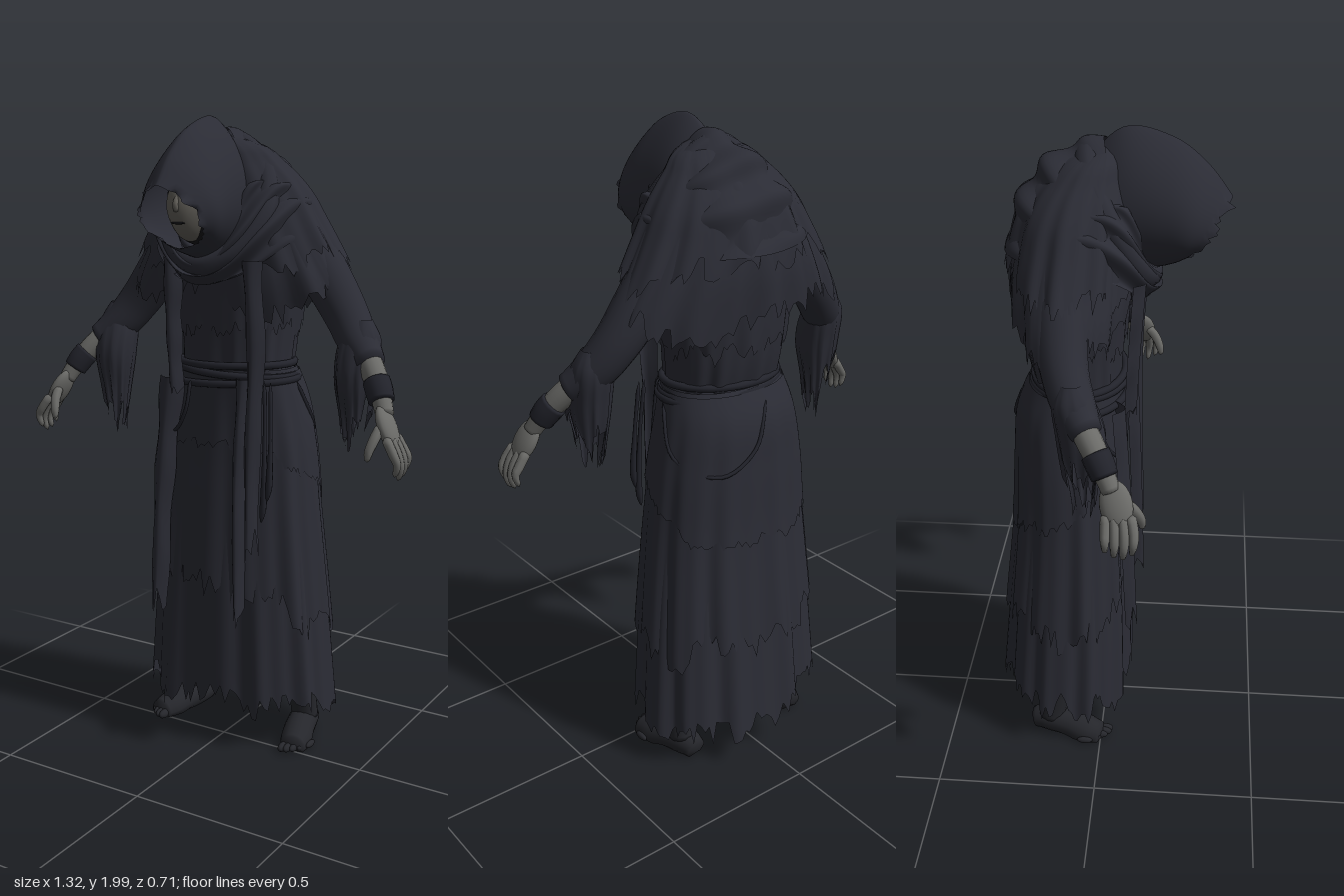
import * as THREE from 'three';
import { mergeVertices } from 'three/addons/utils/BufferGeometryUtils.js';

const mat = (name, color) => new THREE.MeshStandardMaterial({ name, color, side: THREE.DoubleSide });
const V = (p) => new THREE.Vector3(...p);

// Small seeded random generator
function seeded(s) {
  return () => {
    s = (s * 1664525 + 1013904223) % 4294967296;
    return s / 4294967296;
  };
}

// Smooth grid surface from f(u, v) -> [x, y, z]
function surface(f, nu, nv) {
  const pos = [], idx = [];
  for (let j = 0; j <= nv; j++) for (let i = 0; i <= nu; i++) pos.push(...f(i / nu, j / nv));
  for (let j = 0; j < nv; j++) for (let i = 0; i < nu; i++) {
    const a = j * (nu + 1) + i, b = a + nu + 1;
    idx.push(a, a + 1, b, b, a + 1, b + 1);
  }
  let g = new THREE.BufferGeometry();
  g.setAttribute('position', new THREE.Float32BufferAttribute(pos, 3));
  g.setIndex(idx);
  g = mergeVertices(g, 1e-5);
  g.computeVertexNormals();
  return g;
}

// Smooth interpolation of rows [t, a, b, ...], t ascending
function profile(rows) {
  const size = rows[0].length - 1;
  const c = new THREE.CubicInterpolant(rows.map((r) => r[0]), rows.flatMap((r) => r.slice(1)), size);
  return (t) => Array.from(c.evaluate(t));
}

// Torn edge: coarse flaps plus fine teeth, periodic in u
function torn(seed, amp, n) {
  const r = seeded(seed);
  const coarse = Array.from({ length: 22 }, r), fine = Array.from({ length: n }, r);
  return (u) => {
    const k = (u % 1) * 22, i = Math.floor(k), f = k - i;
    const c = coarse[i % 22] * (1 - f) + coarse[(i + 1) % 22] * f;
    return amp * (c - 0.5 + 0.7 * (fine[Math.round(u * n) % n] - 0.5));
  };
}

// Hanging cloth: rows [y, halfWidth, zFront, zBack], torn hem, folds that grow downwards
function cloth({ rows, top, hem, seed = 1, amp = 0.08, grow = 0, folds = 0.01, cx = 0, n = 132, nv = 22, square = 0.9 }) {
  const at = profile(rows), tear = torn(seed, amp, n);
  const pw = (c) => Math.sign(c) * Math.abs(c) ** square;
  return surface((u, v) => {
    const a = (u % 1) * Math.PI * 2;
    const end = hem(Math.cos(a), Math.sin(a)) + tear(u);
    const y = top + (end - top) * v;
    const [hx, zf, zb] = at(y);
    const w = grow + folds * v * (Math.sin(a * 11 + seed) + 0.6 * Math.sin(a * 19 + seed * 2));
    return [cx + (hx + w) * pw(Math.cos(a)), y, (zf + zb) / 2 + ((zf - zb) / 2 + w) * pw(Math.sin(a))];
  }, n, nv);
}

// Round limb through points with a radius at each point, closed at the ends
function limb(points, radii, nu = 14, nv = 18) {
  const curve = new THREE.CatmullRomCurve3(points.map(V));
  const { normals, binormals } = curve.computeFrenetFrames(nv, false);
  const r = profile(radii.map((x, i) => [i / (radii.length - 1), x]));
  return surface((u, v) => {
    const a = (u % 1) * Math.PI * 2, k = Math.round(v * nv);
    const rad = k === 0 || k === nv ? 0 : r(v)[0];
    const p = curve.getPoint(v).addScaledVector(normals[k], rad * Math.cos(a)).addScaledVector(binormals[k], rad * Math.sin(a));
    return [p.x, Math.max(0, p.y), p.z];
  }, nu, nv);
}

// Hanging ribbon, bowed forward, with a frayed tip
function ribbon(points, width, seed) {
  const curve = new THREE.CatmullRomCurve3(points.map(V)), r = seeded(seed);
  const fray = Array.from({ length: 9 }, () => r() * 0.12);
  return surface((u, v) => {
    const p = curve.getPoint(v * (1 - fray[Math.round(u * 8)]));
    const w = width * (1 - 0.35 * v) * (1 + 0.12 * Math.sin(v * 17 + seed));
    return [p.x + (u - 0.5) * w, p.y, p.z - 0.02 + 0.035 * Math.sin(u * Math.PI)];
  }, 8, 16);
}

// Closed cord or roll through points
const loop = (points, r) => new THREE.TubeGeometry(new THREE.CatmullRomCurve3(points.map(V), true), 72, r, 10, true);

export function createModel() {
  const root = new THREE.Group();
  const robe = mat('robe', 0x2b2c35), shade = mat('hoodShadow', 0x141418), wrap = mat('wrappings', 0x22232b);
  const skin = mat('greySkin', 0x6b6b68), mask = mat('faceSkin', 0x625f59), feet = mat('darkSkin', 0x25262b);
  const add = (name, geometry, material) => {
    const m = new THREE.Mesh(geometry, material);
    m.name = name;
    root.add(m);
    return m;
  };
  const ball = (name, material, p, s) => {
    const m = add(name, new THREE.SphereGeometry(1, 20, 14), material);
    m.position.set(...p);
    m.scale.set(...s);
    return m;
  };

  // Skirt layers
  const skirt = [
    [0.05, 0.325, 0.085, -0.345], [0.45, 0.295, 0.078, -0.31], [0.8, 0.262, 0.062, -0.277],
    [1.0, 0.24, 0.05, -0.268], [1.15, 0.208, 0.045, -0.255], [1.25, 0.18, 0.045, -0.21]];
  add('underSkirt', cloth({ rows: skirt, top: 1.25, hem: () => 0.145, seed: 3, amp: 0.12, folds: 0.009 }), robe);
  add('overSkirt', cloth({ rows: skirt, top: 1.24, hem: (c, s) => 0.46 + 0.05 * s, seed: 8, amp: 0.14, grow: 0.01, folds: 0.008 }), robe);
  add('hipDrape', cloth({ rows: skirt, top: 1.23, hem: (c, s) => 0.88 + 0.02 * c + 0.13 * s, seed: 21, amp: 0.06, grow: 0.015, folds: 0.004 }), robe);

  // Torso and torn chest layer
  const torso = [[1.2, 0.18, 0.045, -0.205], [1.32, 0.188, 0.05, -0.235], [1.45, 0.2, 0.06, -0.25], [1.6, 0.22, 0.07, -0.25], [1.78, 0.18, 0.05, -0.2]];
  add('torso', cloth({ rows: torso, top: 1.78, hem: () => 1.22, amp: 0, folds: 0.004 }), robe);
  add('chestLayer', cloth({ rows: torso, top: 1.76, hem: () => 1.37, seed: 5, amp: 0.07, grow: 0.008, folds: 0.004 }), robe);

  // Shoulder mantle in two torn layers
  const mantle = [
    [1.38, 0.425, 0.06, -0.265], [1.5, 0.388, 0.075, -0.275], [1.6, 0.33, 0.08, -0.278], [1.7, 0.272, 0.08, -0.262], [1.78, 0.225, 0.07, -0.235],
    [1.86, 0.155, 0.05, -0.17], [1.92, 0.08, 0.03, -0.08], [1.94, 0.001, 0.0, -0.002]];
  add('lowerMantle', cloth({ rows: mantle, top: 1.94, hem: (c, s) => 1.455 + 0.02 * c * c, seed: 13, amp: 0.1, folds: 0.007, square: 1 }), robe);
  add('upperMantle', cloth({ rows: mantle, top: 1.94, hem: (c, s) => 1.6 - 0.03 * s, seed: 17, amp: 0.09, grow: 0.01, folds: 0.008, square: 1 }), robe);

  // Draped cowl: each row blends [halfWidth, ySide, yFront, zFront, yBack, zBack] from neck to outer edge
  const cowlRows = [[0.12, 1.8, 1.62, 0.12, 1.96, 0.0], [0.235, 1.83, 1.53, 0.19, 1.935, -0.26], [0.265, 1.66, 1.5, 0.125, 1.65, -0.285]];
  add('cowl', surface((u, v) => {
    const a = (u % 1) * Math.PI * 2, c = Math.cos(a), s = Math.sin(a);
    const [w, ys, yf, zf, yb, zb] = cowlRows[0].map((p, i) => p * (1 - v) ** 2 + 2 * cowlRows[1][i] * v * (1 - v) + cowlRows[2][i] * v * v);
    const crease = 0.011 * Math.sin(v * 20 + 0.8 * Math.sin(a * 2)) + 0.004 * Math.sin(a * 7 + v * 4);
    const f = s * s;
    return [(w + crease) * c, ys * (1 - f) + (s > 0 ? yf : yb) * f + crease * 0.6, (zf + zb) / 2 + ((zf - zb) / 2 + crease) * s];
  }, 96, 36), robe);
  add('cowlRoll', loop([
    [0, 1.565, 0.13], [0.1, 1.605, 0.105], [0.165, 1.725, 0.04], [0.115, 1.85, -0.03], [0, 1.92, -0.05],
    [-0.115, 1.85, -0.03], [-0.165, 1.725, 0.04], [-0.1, 1.605, 0.105]], 0.037), robe);

  // Hood: rows are [s, zTop, yTop, zBottom, yBottom, halfWidth] from nape to rim
  const hood = profile([
    [0, -0.07, 1.88, 0.02, 1.6, 0.1], [0.25, 0.05, 1.99, 0.09, 1.58, 0.115], [0.5, 0.19, 1.965, 0.15, 1.585, 0.124],
    [0.75, 0.29, 1.89, 0.2, 1.6, 0.125], [1, 0.36, 1.8, 0.235, 1.62, 0.1]]);
  const rim = torn(31, 0.035, 60);
  add('hood', surface((u, v) => {
    const a = (u % 1) * Math.PI * 2, h = ((1 - Math.cos(a)) / 2) ** 0.8, s = Math.sin(a);
    const [zt, yt, zb, yb, w] = hood(v);
    const ragged = v === 1 && h > 0.1 ? rim(u) : 0;
    return [w * Math.sign(s) * Math.abs(s) ** 1.25, yt + (yb - yt) * h, zt + (zb - zt) * h + ragged];
  }, 60, 24), robe);

  // Shadowed head and gaunt face
  ball('headShadow', shade, [0, 1.75, 0.13], [0.1, 0.13, 0.1]);
  const faceGeo = new THREE.SphereGeometry(1, 24, 18), fp = faceGeo.attributes.position;
  for (let i = 0; i < fp.count; i++) {
    const y = fp.getY(i), k = y < 0 ? 1 + 0.3 * y : 1;
    fp.setXYZ(i, fp.getX(i) * 0.068 * k, y * 0.1, fp.getZ(i) * 0.08);
  }
  faceGeo.computeVertexNormals();
  add('face', faceGeo, mask).position.set(0, 1.735, 0.185);
  add('nose', limb([[0, 1.78, 0.245], [0, 1.745, 0.266], [0, 1.722, 0.258]], [0.004, 0.009, 0.008], 8, 8), mask);
  ball('mouth', shade, [0, 1.692, 0.254], [0.024, 0.004, 0.005]);

  // Belt cords and hanging cord loops
  const ring = (y, g, tilt) => Array.from({ length: 16 }, (_, i) => {
    const a = i * Math.PI / 8;
    return [(0.188 + g) * Math.cos(a), y + tilt * Math.cos(a), -0.08 + (0.134 + g) * Math.sin(a)];
  });
  [[1.25, 0.004, 0.006], [1.225, 0.008, -0.008], [1.195, 0.016, 0.012]].forEach(([y, g, t]) => add('beltCord', loop(ring(y, g, t), 0.012), wrap));
  const thin = [0.006, 0.006, 0.006, 0.006, 0.006];
  add('hipCord', limb([[-0.2, 1.2, -0.02], [-0.2, 1.08, 0.02], [-0.15, 1.03, 0.055], [-0.1, 1.1, 0.07], [-0.08, 1.2, 0.07]], thin, 8, 24), wrap);
  add('backCord', limb([[0.215, 1.2, -0.08], [0.235, 1.05, -0.16], [0.14, 1.0, -0.265], [0.03, 1.07, -0.29], [-0.04, 1.2, -0.25]], thin, 8, 24), wrap);
  [[0.09, 0.9], [0.13, 0.72], [0.18, 0.78], [0.2, 0.85]].forEach(([x, y]) =>
    add('beltTassel', limb([[x, 1.22, 0.06], [x + 0.01, 1.05, 0.075], [x + 0.012, y + 0.05, 0.085], [x + 0.005, y, 0.085]], [0.007, 0.006, 0.011, 0.003], 8, 14), wrap));

  // Long ribbons hanging from the cowl and belt
  add('rightRibbon', ribbon([[-0.13, 1.58, 0.11], [-0.135, 1.35, 0.095], [-0.13, 1.15, 0.085]], 0.07, 4), robe);
  add('leftRibbon', ribbon([[0.15, 1.58, 0.11], [0.155, 1.3, 0.09], [0.145, 1.0, 0.09], [0.15, 0.65, 0.1]], 0.07, 9), robe);
  add('frontRibbon', ribbon([[0.11, 1.22, 0.075], [0.1, 0.9, 0.09], [0.11, 0.42, 0.105]], 0.06, 14), robe);
  add('hipRibbon', ribbon([[-0.17, 1.2, 0.055], [-0.19, 0.85, 0.08], [-0.2, 0.42, 0.1]], 0.09, 19), robe);

  for (const s of [1, -1]) {
    const side = s > 0 ? 'left' : 'right';
    const P = (x, y, z) => [s * x, y, z];

    // Sleeve and its torn hanging cuff
    add(side + 'Sleeve', limb([P(0.16, 1.68, -0.1), P(0.28, 1.55, -0.1), P(0.375, 1.42, -0.085), P(0.44, 1.335, -0.05), P(0.505, 1.28, -0.005)], [0.085, 0.077, 0.068, 0.06, 0.042], 20, 24), robe);
    add(side + 'SleeveDrape', cloth({
      rows: [[1.0, 0.025, 0.0, -0.06], [1.12, 0.042, 0.015, -0.08], [1.25, 0.062, 0.035, -0.1], [1.36, 0.058, 0.0, -0.11], [1.41, 0.03, -0.03, -0.09]],
      top: 1.41, hem: (c) => 1.09 + 0.05 * s * c, seed: 40 + s, amp: 0.13, folds: 0.005, cx: s * 0.44, n: 48, nv: 14 }), robe);

    // Forearm, wrist wrap and hand
    add(side + 'Forearm', limb([P(0.45, 1.33, -0.05), P(0.51, 1.265, 0.0), P(0.555, 1.2, 0.04), P(0.58, 1.15, 0.065)], [0.036, 0.037, 0.03, 0.026]), skin);
    add(side + 'WristWrap', limb([P(0.522, 1.25, 0.01), P(0.542, 1.22, 0.028), P(0.56, 1.185, 0.045)], [0.041, 0.041, 0.037], 14, 10), wrap);
    const palm = ball(side + 'Palm', skin, P(0.592, 1.125, 0.075), [0.024, 0.07, 0.046]);
    palm.quaternion.setFromUnitVectors(new THREE.Vector3(0, 1, 0), V(P(-0.45, 0.87, -0.2)).normalize());
    for (let i = 0; i < 4; i++) {
      const z = 0.048 + i * 0.022, drop = [0.02, 0.005, 0.0, 0.015][i];
      add(side + 'Finger', limb([P(0.602, 1.11, z), P(0.635, 1.06, z + 0.004 * i), P(0.647, 1.02 + drop, z + 0.004 * i), P(0.637, 0.98 + drop, z + 0.002 * i)], [0.015, 0.0145, 0.012, 0.007], 8, 12), skin);
    }
    add(side + 'Thumb', limb([P(0.582, 1.135, 0.095), P(0.575, 1.1, 0.125), P(0.565, 1.06, 0.143), P(0.563, 1.035, 0.145)], [0.015, 0.016, 0.013, 0.007], 8, 12), skin);

    // Bare leg, foot and toes
    add(side + 'Leg', limb([P(0.18, 0.5, -0.11), P(0.2, 0.28, -0.13), P(0.215, 0.12, -0.155), P(0.215, 0.04, -0.17)], [0.07, 0.06, 0.046, 0.045]), feet);
    add(side + 'Foot', limb([P(0.203, 0.022, -0.235), P(0.21, 0.035, -0.18), P(0.227, 0.03, -0.11), P(0.247, 0.015, -0.045), P(0.26, 0.01, 0.01)], [0.032, 0.046, 0.049, 0.05, 0.036], 16, 20), feet);
    for (let i = 0; i < 5; i++) {
      ball(side + 'Toe', feet, P(0.232 + i * 0.0165, 0.015, 0.014 - i * i * 0.004), [0.013 - i * 0.0008, 0.015 - i * 0.001, 0.026]);
    }
  }
  return root;
}
